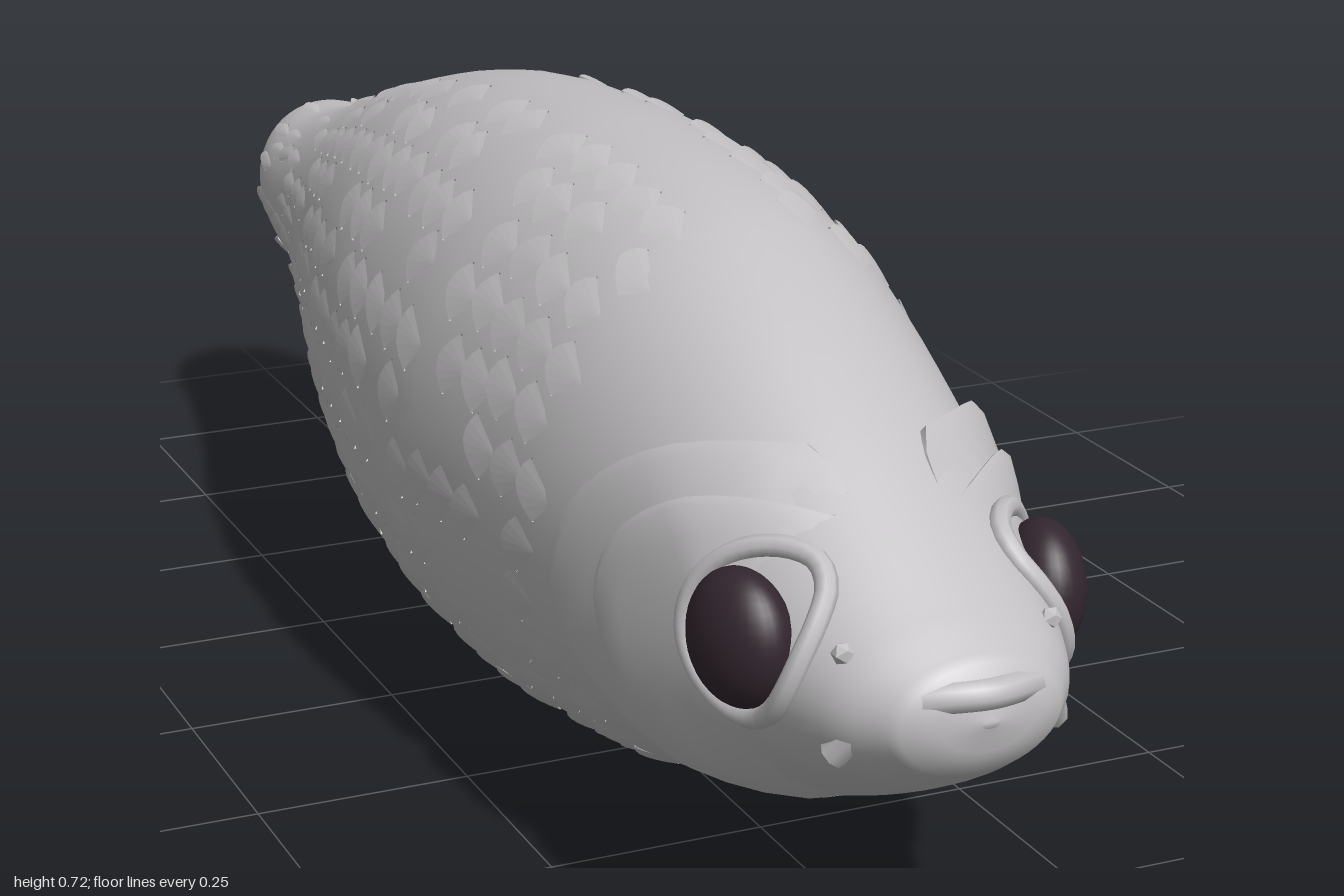
import * as THREE from 'three';

// Body stations: z, underside y, back y, half width
const stations = [
  [-1, 0.4, 0.4, 0], [-0.99, 0.345, 0.455, 0.05], [-0.97, 0.315, 0.485, 0.08], [-0.93, 0.293, 0.503, 0.1],
  [-0.85, 0.275, 0.512, 0.117], [-0.75, 0.25, 0.54, 0.13], [-0.6, 0.175, 0.593, 0.16], [-0.4, 0.085, 0.658, 0.212],
  [-0.2, 0.025, 0.705, 0.252], [0, 0.004, 0.723, 0.271], [0.15, 0.008, 0.725, 0.273], [0.4, 0.045, 0.698, 0.247],
  [0.55, 0.085, 0.638, 0.222], [0.7, 0.135, 0.555, 0.195], [0.8, 0.175, 0.492, 0.17], [0.9, 0.225, 0.428, 0.138],
  [0.95, 0.257, 0.397, 0.105], [0.98, 0.287, 0.37, 0.065], [0.99, 0.325, 0.335, 0.01],
];
const profile = new THREE.CubicInterpolant(stations.map((s) => s[0]), stations.flatMap((s) => s.slice(1)), 3);

function section(z) {
  const [bottom, top, w] = profile.evaluate(z);
  return { c: (top + bottom) / 2, h: Math.max((top - bottom) / 2, 0), w: Math.max(w, 0) };
}

// Point on the body at station z and angle a, raised by lift
function skin(z, a, lift = 0) {
  const { c, h, w } = section(z);
  const n = new THREE.Vector2(Math.cos(a) * h, Math.sin(a) * w).normalize();
  return new THREE.Vector3(w * Math.cos(a) + n.x * lift, c + h * Math.sin(a) + n.y * lift, z);
}

// Point on the left flank from its side-view position
function flank(z, y, lift = 0) {
  const { c, h } = section(z);
  return skin(z, Math.asin(THREE.MathUtils.clamp((y - c) / h, -0.96, 0.96)), lift);
}

function geometryFrom(points, index) {
  const g = new THREE.BufferGeometry().setFromPoints(points);
  if (index) g.setIndex(index);
  g.computeVertexNormals();
  return g;
}

function bodyGeometry() {
  const n = 48;
  const zs = [];
  for (let i = 0; i < stations.length - 1; i++) {
    const [z0, z1] = [stations[i][0], stations[i + 1][0]];
    for (let k = 0; k < 3; k++) zs.push(z0 + ((z1 - z0) * k) / 3);
  }
  zs.push(0.99);
  const points = [];
  const index = [];
  zs.forEach((z, i) => {
    for (let j = 0; j < n; j++) {
      points.push(skin(z, (j / n) * Math.PI * 2));
      if (i === zs.length - 1) continue;
      const a = i * n + j;
      const b = i * n + ((j + 1) % n);
      index.push(a, b, a + n, b, b + n, a + n);
    }
  });
  return geometryFrom(points, index);
}

// Staggered flakes whose rounded rear edges stand off the skin
function scalesGeometry() {
  let seed = 7;
  const random = () => (seed = (seed * 16807) % 2147483647) / 2147483647;
  const points = [];
  const rows = 12;
  for (let r = 0; r < rows; r++) {
    for (let col = 0; col < 22; col++) {
      const z0 = 0.44 - (col + (r % 2) / 2) * 0.061 + (random() - 0.5) * 0.012;
      const a0 = -1.2 + (r / (rows - 1)) * 2.45 + (random() - 0.5) * 0.04;
      const keep = random() < (z0 < -0.5 ? 0.55 : 0.8);
      const tilt = (random() - 0.5) * 0.02;
      if (!keep) continue;
      const front = skin(z0 + 0.03, a0, -0.001);
      const edge = (t, lift) => skin(z0 - 0.032 * Math.cos(t * 1.3) + t * tilt, a0 + t * 0.105, lift);
      for (let k = 0; k < 6; k++) {
        const [t0, t1] = [k / 3 - 1, (k + 1) / 3 - 1];
        const [l0, l1] = [0.006 - 0.004 * t0 * t0, 0.006 - 0.004 * t1 * t1];
        const [p, q, s, u] = [edge(t0, l0), edge(t1, l1), edge(t0, -0.003), edge(t1, -0.003)];
        points.push(front, q, p, p, q, s, q, u, s);
      }
    }
  }
  return geometryFrom(points);
}

// Curved plate that rises toward its rear rim and then drops to the skin
function gillPlate(cz, cy, back, up, down, lift) {
  const points = [];
  const index = [];
  const n = 28;
  const rings = [[0, 0], [0.25, 0.15], [0.5, 0.4], [0.75, 0.75], [0.93, 1], [1, 0.8], [1, 0.8], [1.01, -0.4]];
  rings.forEach(([s, rise], i) => {
    for (let j = 0; j <= n; j++) {
      const t = (-1 + (2 * j) / n) * 1.75;
      const fade = Math.min(1, (1.75 - Math.abs(t)) * 1.6);
      const y = cy + s * Math.sin(t) * (t > 0 ? up : down);
      points.push(flank(cz - s * Math.cos(t) * back, y, rise * lift * fade));
      if (i === rings.length - 1 || j === n || i === 5) continue;
      const a = i * (n + 1) + j;
      const b = a + n + 1;
      index.push(a, a + 1, b, a + 1, b + 1, b);
    }
  });
  return geometryFrom(points, index);
}

function tube(points, radius, closed = false) {
  return new THREE.TubeGeometry(new THREE.CatmullRomCurve3(points, closed), 40, radius, 8, closed);
}

// Lip drawn as a downturned arc through mirrored points
function lip(half, radius) {
  const right = half.map(([x, y, z]) => new THREE.Vector3(-x, y, z));
  const left = half.slice(0, -1).reverse().map(([x, y, z]) => new THREE.Vector3(x, y, z));
  return tube([...right, ...left], radius);
}

export function createModel() {
  const skinMat = new THREE.MeshStandardMaterial({ color: 0xc2c0c2, side: THREE.DoubleSide });
  skinMat.name = 'silver grey skin';
  const eyeMat = new THREE.MeshStandardMaterial({ color: 0x33262f });
  eyeMat.name = 'dark plum eye';

  const model = new THREE.Group();
  model.name = 'fish';
  const add = (parent, name, geometry, material = skinMat) => {
    const mesh = new THREE.Mesh(geometry, material);
    mesh.name = name;
    parent.add(mesh);
    return mesh;
  };

  add(model, 'body', bodyGeometry());
  add(model, 'upperLip', lip([[0.122, 0.282, 0.9], [0.1, 0.318, 0.925], [0.07, 0.348, 0.955], [0, 0.358, 0.983]], 0.016));
  add(model, 'lowerLip', lip([[0.1, 0.288, 0.91], [0.06, 0.318, 0.95], [0, 0.328, 0.975]], 0.013));

  // Paired parts
  const scales = scalesGeometry();
  const gillCover = gillPlate(0.74, 0.33, 0.25, 0.2, 0.18, 0.02);
  const cheek = gillPlate(0.76, 0.345, 0.18, 0.14, 0.165, 0.024);
  const rim = [];
  for (let k = 0; k < 16; k++) {
    const t = (k / 16) * Math.PI * 2;
    rim.push(flank(0.79 + 0.078 * Math.cos(t), 0.372 + 0.083 * Math.sin(t), 0.002));
  }
  const socket = tube(rim, 0.012, true);

  for (const side of [1, -1]) {
    const half = new THREE.Group();
    half.name = side > 0 ? 'leftSide' : 'rightSide';
    half.scale.x = side;
    model.add(half);
    add(half, 'scales', scales);
    add(half, 'gillCover', gillCover);
    add(half, 'cheekPlate', cheek);
    add(half, 'eyeSocket', socket);
    const eye = add(half, 'eye', new THREE.SphereGeometry(0.07, 32, 20), eyeMat);
    eye.position.set(0.17, 0.37, 0.79);
    eye.scale.set(0.62, 1.03, 0.95);
    eye.rotation.y = -0.25;
    const nostril = add(half, 'nostril', new THREE.IcosahedronGeometry(0.012, 0));
    nostril.position.copy(flank(0.9, 0.385, 0.002));
  }
  return model;
}
